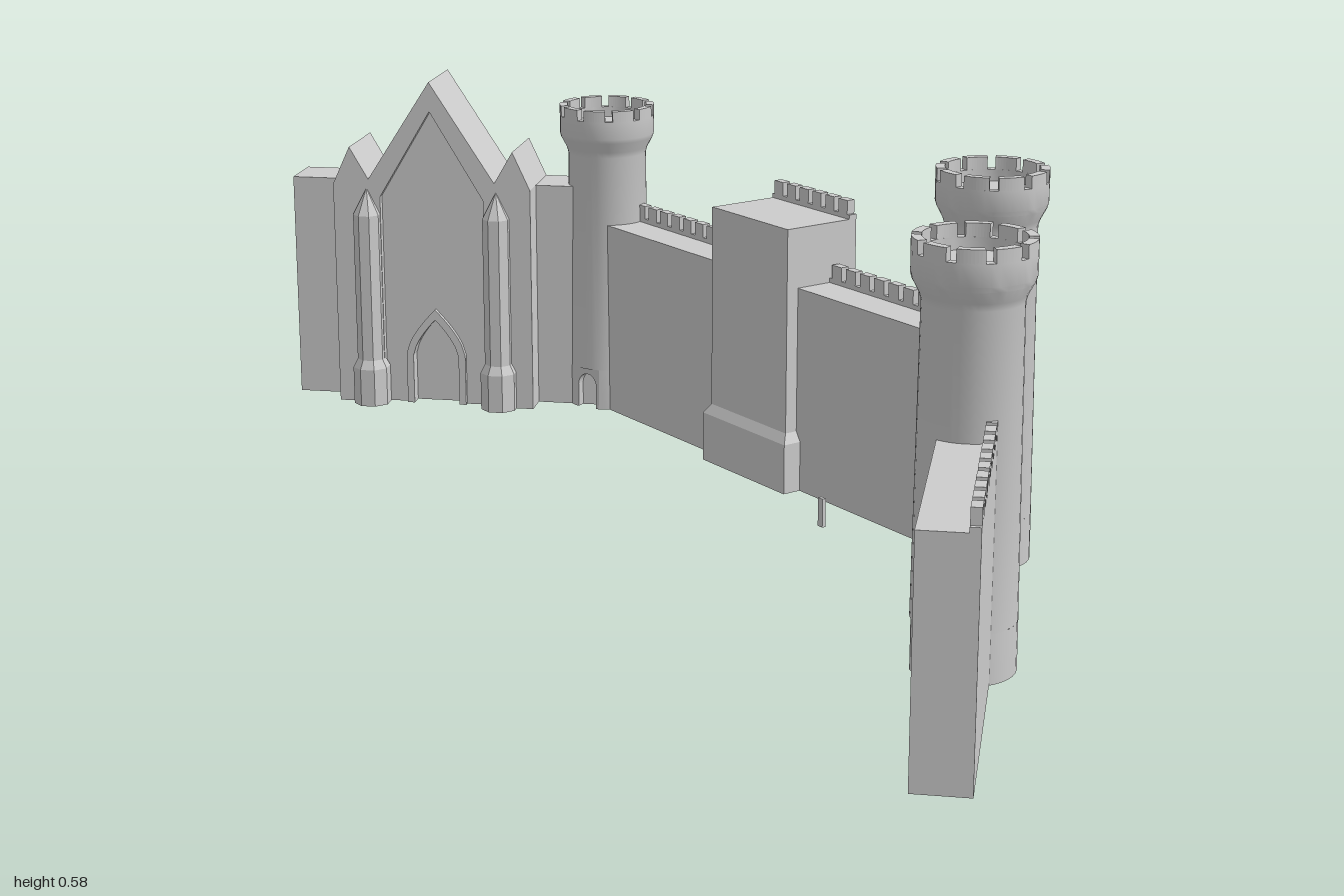
import * as THREE from 'three';
import { toCreasedNormals } from 'three/addons/utils/BufferGeometryUtils.js';

const mat = new THREE.MeshStandardMaterial({ color: 0xcccccc });
const matDouble = new THREE.MeshStandardMaterial({ color: 0xcccccc, side: THREE.DoubleSide });

function add(parent, name, geo, x = 0, y = 0, z = 0, m = mat) {
  const mesh = new THREE.Mesh(geo, m);
  mesh.name = name;
  mesh.position.set(x, y, z);
  parent.add(mesh);
  return mesh;
}
function section(parent, name, x, z, turn) {
  const g = new THREE.Group();
  g.name = name;
  g.position.set(x, 0, z);
  g.rotation.y = turn;
  parent.add(g);
  return g;
}
const polygon = pts => new THREE.Shape(pts.map(p => new THREE.Vector2(...p)));
const extrude = (shape, depth) =>
  new THREE.ExtrudeGeometry(shape, { depth, bevelEnabled: false, curveSegments: 16 });
const lathe = (pts, segs, start = 0, len = Math.PI * 2) =>
  toCreasedNormals(new THREE.LatheGeometry(pts.map(p => new THREE.Vector2(...p)), segs, start, len), 0.5);

// Outline of an arch from left foot to right foot, round or pointed
function archPoints(hw, spring, top, pointed) {
  const pts = [[-hw, 0]];
  for (let i = 0; i <= 16; i++) {
    const t = i / 8 - 1;
    const rise = pointed ? Math.pow(1 - Math.abs(t), 0.65) : Math.cos(t * Math.PI / 2);
    const x = pointed ? t * hw : Math.sin(t * Math.PI / 2) * hw;
    pts.push([x, spring + (top - spring) * rise]);
  }
  pts.push([hw, 0]);
  return pts;
}
// Slab standing on the ground with an arched opening around x = cx
function archedSlab(x0, x1, h, depth, cx, arch) {
  const pts = [[x0, 0], ...arch.map(([x, y]) => [x + cx, y]), [x1, 0], [x1, h], [x0, h]];
  return extrude(polygon(pts), depth);
}

// Toothed parapet along x
function parapet(parent, x0, x1, y, z) {
  const n = Math.round((x1 - x0) / 0.035), pitch = (x1 - x0) / n;
  const pts = [[x1, 0], [x0, 0]];
  for (let i = 0; i < n; i++) {
    const a = x0 + i * pitch + pitch * 0.16, b = a + pitch * 0.68;
    pts.push([a - pitch * 0.16, 0.007], [a, 0.007], [a, 0.029], [b, 0.029], [b, 0.007]);
  }
  pts.push([x1, 0.007]);
  add(parent, 'parapet', extrude(polygon(pts.reverse()), 0.014), 0, y, z);
}
function wall(parent, name, x0, x1, h, thick, crenels = true) {
  add(parent, name, new THREE.BoxGeometry(x1 - x0, h, thick), (x0 + x1) / 2, h / 2, 0);
  if (crenels) parapet(parent, x0, x1, h, -thick / 2);
}

// Round tower with flared head, merlons and a small door facing +z
function tower(parent, name, x, z, turn, h) {
  const g = section(parent, name, x, z, turn);
  const R = 0.08, doorTop = 0.07, gap = 0.33;
  add(g, 'towerFoot', lathe([[0, 0], [0.071, 0], [0.0705, doorTop]], 32, gap, Math.PI * 2 - gap * 2), 0, 0, 0, matDouble);
  add(g, 'towerShaft', lathe([
    [0, doorTop], [0.0705, doorTop], [0.066, h - 0.082], [0.069, h - 0.072], [R - 0.002, h - 0.055],
    [R, h - 0.048], [R, h - 0.018], [R - 0.013, h - 0.018], [R - 0.013, h - 0.035], [0, h - 0.035],
  ], 40));
  const n = 10, arc = Math.PI * 2 / n * 0.74;
  const tooth = new THREE.Shape();
  tooth.absarc(0, 0, R, -arc / 2, arc / 2, false);
  tooth.absarc(0, 0, R - 0.013, arc / 2, -arc / 2, true);
  const toothGeo = new THREE.ExtrudeGeometry(tooth, { depth: 0.018, bevelEnabled: false, curveSegments: 4 });
  toothGeo.rotateX(-Math.PI / 2);
  for (let i = 0; i < n; i++)
    add(g, 'merlon', toothGeo, 0, h - 0.018, 0).rotation.y = i / n * Math.PI * 2;
  add(g, 'towerDoorFrame', archedSlab(-0.024, 0.024, doorTop, 0.026, 0, archPoints(0.018, 0.04, 0.06)), 0, 0, 0.041);
  add(g, 'towerDoor', new THREE.BoxGeometry(0.048, doorTop, 0.01), 0, doorTop / 2, 0.038);
}

// Square tower in the middle of the main wall, hollow underneath
function squareTower(parent) {
  const g = section(parent, 'squareTower', -0.0975, -0.268, 0);
  const w = 0.0975, d = 0.067, h = 0.42, p = 0.01;
  const loops = [[0, p - 0.012], [0, p], [0.08, p], [0.095, 0], [h, 0]];
  const pos = [], idx = [];
  for (const [y, o] of loops)
    for (const [sx, sz] of [[-1, 1], [1, 1], [1, -1], [-1, -1]])
      pos.push(sx * (w + o), y, sz * (d + o));
  for (let l = 0; l < loops.length - 1; l++)
    for (let k = 0; k < 4; k++) {
      const a = l * 4 + k, b = l * 4 + (k + 1) % 4;
      idx.push(a, b, b + 4, a, b + 4, a + 4);
    }
  const t = (loops.length - 1) * 4;
  idx.push(t, t + 1, t + 2, t, t + 2, t + 3);
  const geo = new THREE.BufferGeometry();
  geo.setAttribute('position', new THREE.Float32BufferAttribute(pos, 3));
  geo.setIndex(idx);
  add(g, 'squareTowerBody', toCreasedNormals(geo, 0.1), 0, 0, 0, matDouble);
  parapet(g, -w, w, h, -d);
}

// Gate wall with arched passage and raised portcullis
function gate(g, len) {
  const cx = len / 2, h = 0.39;
  add(g, 'gateWall', archedSlab(0, len, h, 0.06, cx, archPoints(0.067, 0.135, 0.203)), 0, 0, -0.022);
  add(g, 'gateOuterArch', archedSlab(0, len, h, 0.016, cx, archPoints(0.074, 0.135, 0.211)), 0, 0, -0.038);
  parapet(g, 0.05, len - 0.05, h, -0.038);
  const y0 = 0.09, bar = 0.007;
  for (let i = -3; i <= 3; i++) {
    const x = i * 0.02, top = 0.135 + Math.sqrt(0.068 ** 2 - x * x);
    add(g, 'portcullisBar', new THREE.BoxGeometry(bar, top - y0, bar), cx + x, (top + y0) / 2, 0);
  }
  for (let y = y0 + 0.008; y < 0.2; y += 0.014) {
    const half = y < 0.135 ? 0.067 : Math.sqrt(0.067 ** 2 - (y - 0.135) ** 2);
    add(g, 'portcullisRail', new THREE.BoxGeometry(half * 2, 0.006, 0.005), cx, y, 0);
  }
}

// Gabled hall set into the left wing
function hall(parent, x) {
  const g = section(parent, 'gabledHall', x, 0, 0);
  const roof = [[0.172, 0.385], [0.142, 0.45], [0.11, 0.395], [0, 0.565],
    [-0.11, 0.395], [-0.142, 0.45], [-0.172, 0.385]];
  const door = archPoints(0.04, 0.085, 0.15, true);
  add(g, 'hallBody', extrude(polygon([[-0.172, 0], [0.172, 0], ...roof]), 0.1025), 0, 0, -0.0425);
  add(g, 'hallFrontWall', extrude(polygon([[-0.172, 0], ...door, [0.172, 0], ...roof]), 0.015), 0, 0, 0.06);
  add(g, 'gableFrame', extrude(polygon([[-0.172, 0], [-0.09, 0], [-0.09, 0.365], [0, 0.515],
    [0.09, 0.365], [0.09, 0], [0.172, 0], ...roof]), 0.013), 0, 0, 0.075);
  const surround = polygon([...archPoints(0.052, 0.088, 0.168, true), ...door.slice().reverse()]);
  add(g, 'doorSurround', extrude(surround, 0.008), 0, 0, 0.075);
  // Eight-sided buttresses with a wide foot and pointed cap
  for (const s of [-1, 1]) {
    const geo = toCreasedNormals(new THREE.LatheGeometry([[0, 0], [0.032, 0], [0.032, 0.065], [0.024, 0.08],
      [0.024, 0.335], [0, 0.38]].map(p => new THREE.Vector2(...p)), 8), 0.1);
    geo.rotateY(Math.PI / 8);
    add(g, 'buttress', geo, s * 0.113, 0, 0.09);
  }
}

export function createModel() {
  const model = new THREE.Group();
  model.name = 'castleWall';
  const q = Math.PI / 4, zBack = -0.26, xA = -0.58, xB = 0.39, gateLen = 0.425;

  // Main wall
  const main = section(model, 'mainWall', 0, zBack, 0);
  wall(main, 'mainWallLeft', 0, xB - 0.05, 0.325, 0.076);
  wall(main, 'mainWallRight', xA + 0.05, -0.195, 0.325, 0.076);
  squareTower(model);

  // Gate wing
  const gateWing = section(model, 'gateWing', xB, zBack, -q);
  gate(gateWing, gateLen);
  wall(gateWing, 'endWall', gateLen, 0.82, 0.325, 0.076);

  // Hall wing
  const hallWing = section(model, 'hallWing', xA, zBack, q);
  wall(hallWing, 'hallWall', -0.545, 0, 0.385, 0.085, false);
  hall(hallWing, -0.288);

  // Round towers
  const step = gateLen * Math.SQRT1_2;
  tower(model, 'hallTower', xA, zBack, q / 2, 0.522);
  tower(model, 'innerGateTower', xB, zBack, -q / 2, 0.577);
  tower(model, 'outerGateTower', xB + step, zBack + step, -q, 0.577);

  // Small post standing in the yard
  add(model, 'post', new THREE.BoxGeometry(0.011, 0.045, 0.006), 0.16, 0.0225, -0.147);
  return model;
}
